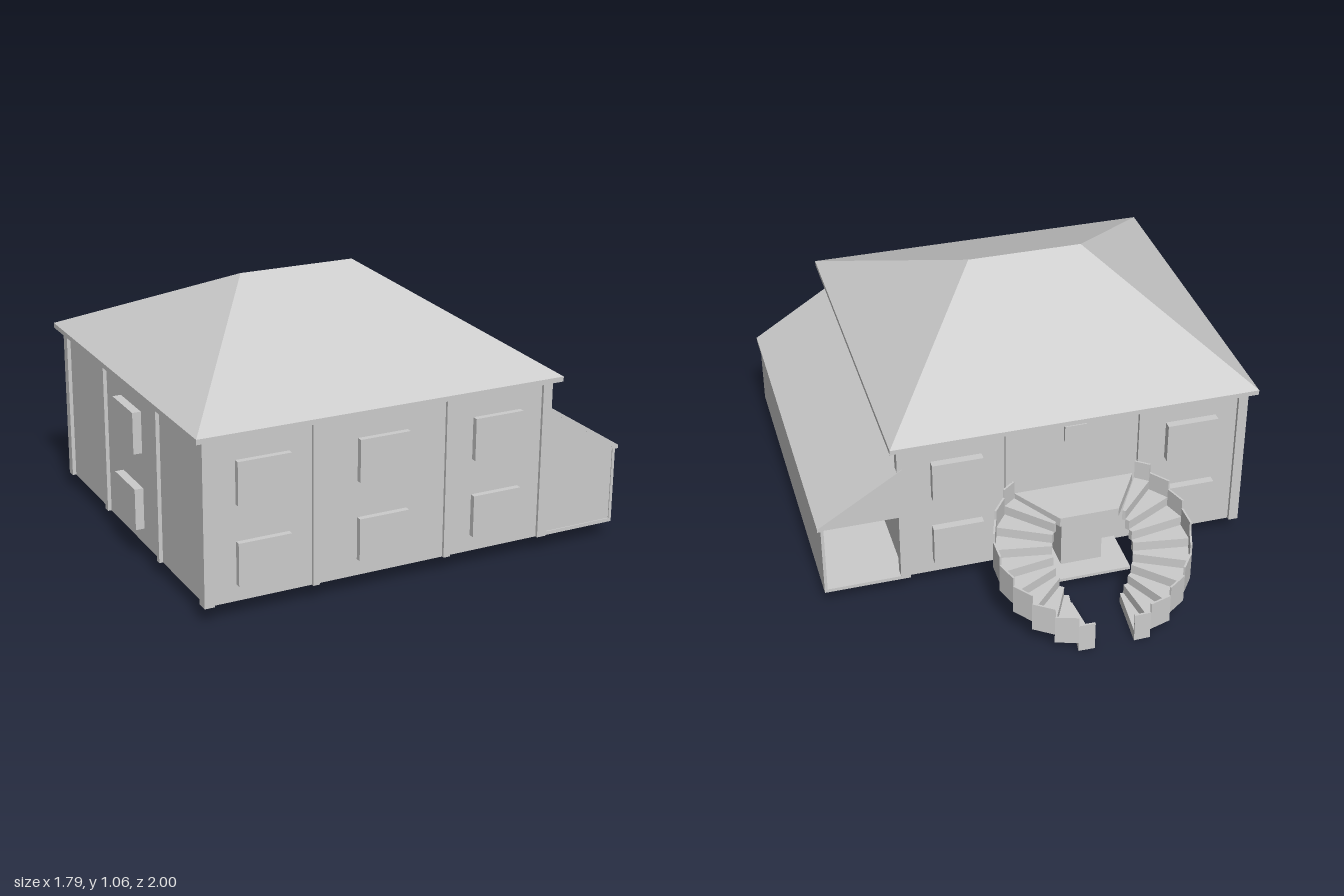
import * as THREE from 'three';

export function createModel() {
  const model = new THREE.Group();
  const plaster = new THREE.MeshStandardMaterial({ color: 0xcccccc });
  plaster.name = 'plaster grey';

  const add = (name, geometry, parent = model) => {
    const mesh = new THREE.Mesh(geometry, plaster);
    mesh.name = name;
    parent.add(mesh);
    return mesh;
  };
  // box given by its limits on each axis
  const box = (name, x0, x1, y0, y1, z0, z1, parent) => {
    const g = new THREE.BoxGeometry(x1 - x0, y1 - y0, z1 - z0);
    return add(name, g.translate((x0 + x1) / 2, (y0 + y1) / 2, (z0 + z1) / 2), parent);
  };
  const group = (name) => {
    const g = new THREE.Group();
    g.name = name;
    model.add(g);
    return g;
  };
  const polygon = (points) => new THREE.Shape(points.map(([x, y]) => new THREE.Vector2(x, y)));
  // upright outline in x/y, running from z0 to z1
  const profile = (name, points, z0, z1, parent) => add(name,
    new THREE.ExtrudeGeometry(polygon(points), { depth: z1 - z0, bevelEnabled: false }).translate(0, 0, z0), parent);
  // flat outline in x/z, running from y0 up to y1
  const plan = (name, points, y0, y1, parent) => add(name,
    new THREE.ExtrudeGeometry(polygon(points), { depth: y1 - y0, bevelEnabled: false })
      .rotateX(Math.PI / 2).translate(0, y1, 0), parent);

  // main walls
  const base = 0.065;
  box('mainWalls', -0.855, 0.555, base, 0.7, -0.455, 0.963);
  box('topBand', -0.868, 0.568, 0.693, 0.702, -0.468, 0.973);

  // pilasters on all sides
  const pilasters = group('pilasters');
  for (const [a, b] of [[-0.87, -0.83], [-0.44, -0.412], [0.11, 0.138], [0.53, 0.57]]) {
    box('frontPilaster', a, b, base, 0.7, 0.93, 0.975, pilasters);
    box('backPilaster', a, b, base, 0.7, -0.47, -0.43, pilasters);
  }
  for (const [a, b] of [[-0.47, -0.43], [-0.035, -0.005], [0.52, 0.545], [0.935, 0.975]]) {
    box('rightSidePilaster', -0.87, -0.83, base, 0.7, a, b, pilasters);
    box('leftSidePilaster', 0.53, 0.57, base, 0.7, a, b, pilasters);
  }

  // windows
  const windows = group('windows');
  for (const [y0, y1] of [[0.13, 0.297], [0.44, 0.607]]) {
    for (const [a, b] of [[-0.74, -0.53], [-0.255, -0.05], [0.23, 0.435]]) {
      box('frontWindow', a, b, y0, y1, 0.95, 0.986, windows);
      if (a !== -0.255) box('backWindow', a, b, y0, y1, -0.487, -0.45, windows);
    }
    box('sideWindow', -0.89, -0.85, y0, y1, 0.15, 0.36, windows);
  }
  box('smallBackWindow', -0.195, -0.105, 0.605, 0.675, -0.468, -0.45, windows);
  for (const z of [0.74, 0.255, -0.23])
    box('upperSideWindow', 0.55, 0.562, 0.605, 0.67, z - 0.043, z + 0.043, windows);

  // hipped roof on a thin eave slab
  box('eaves', -0.9, 0.6, 0.702, 0.722, -0.5, 1);
  const A = [-0.9, 0.722, 1], B = [0.6, 0.722, 1], C = [0.6, 0.722, -0.5], D = [-0.9, 0.722, -0.5];
  const L = [-0.39, 1.06, 0.25], R = [0.09, 1.06, 0.25];
  const hip = new THREE.BufferGeometry();
  hip.setAttribute('position', new THREE.Float32BufferAttribute(
    [A, B, R, A, R, L, B, C, R, C, D, L, C, L, R, D, A, L].flat(), 3));
  hip.computeVertexNormals();
  add('hippedRoof', hip);

  // lean-to garage, open at the back
  const garage = group('garage');
  box('garageFloor', 0.55, 0.88, base, 0.08, -0.47, 0.97, garage);
  box('garageSideWall', 0.868, 0.88, base, 0.38, -0.47, 0.97, garage);
  const gable = [[0.55, 0.375], [0.88, 0.375], [0.88, 0.385], [0.57, 0.585], [0.55, 0.59]];
  profile('frontGable', gable, 0.955, 0.97, garage);
  profile('backGable', gable, -0.47, -0.455, garage);
  box('frontDoor', 0.55, 0.872, 0.075, 0.378, 0.95, 0.966, garage);
  profile('garageRoof', [[0.55, 0.591], [0.55, 0.605], [0.893, 0.387], [0.893, 0.373], [0.88, 0.373]],
    -0.473, 0.972, garage);

  // porch below the landing
  const porch = group('porch');
  box('porchFloor', -0.33, 0.03, base, 0.078, -0.66, -0.45, porch);
  box('porchEntry', -0.235, -0.065, 0.075, 0.352, -0.57, -0.45, porch);
  plan('landing', [[-0.4, -0.45], [-0.37, -0.5], [-0.27, -0.66], [-0.03, -0.66], [0.07, -0.5], [0.1, -0.45]],
    0.345, 0.385, porch);

  // twin curved stairs, mirrored about the landing
  const stairs = group('curvedStairs');
  for (const side of [1, -1]) {
    const at = (r, deg) => {
      const a = THREE.MathUtils.degToRad(deg);
      return [-0.15 - side * (0.105 + r * Math.sin(a)), -0.71 - r * Math.cos(a)];
    };
    const sector = (r0, r1, a, b) => [at(r0, a), at(r1, a), at(r1, b), at(r0, b)];
    for (let k = 0; k < 9; k++) {
      const start = k ? 8 + 18.3 * (k - 1) : -5;
      const end = Math.min(8 + 18.3 * k, 149);
      const top = 0.045 + 0.0407 * k;
      plan('stairTread', sector(0.06, 0.29, start, end), top - 0.045, top, stairs);
      plan('stairParapet', sector(0.283, 0.291, start, end), top - 0.045, top + 0.08, stairs);
    }
  }
  return model;
}
